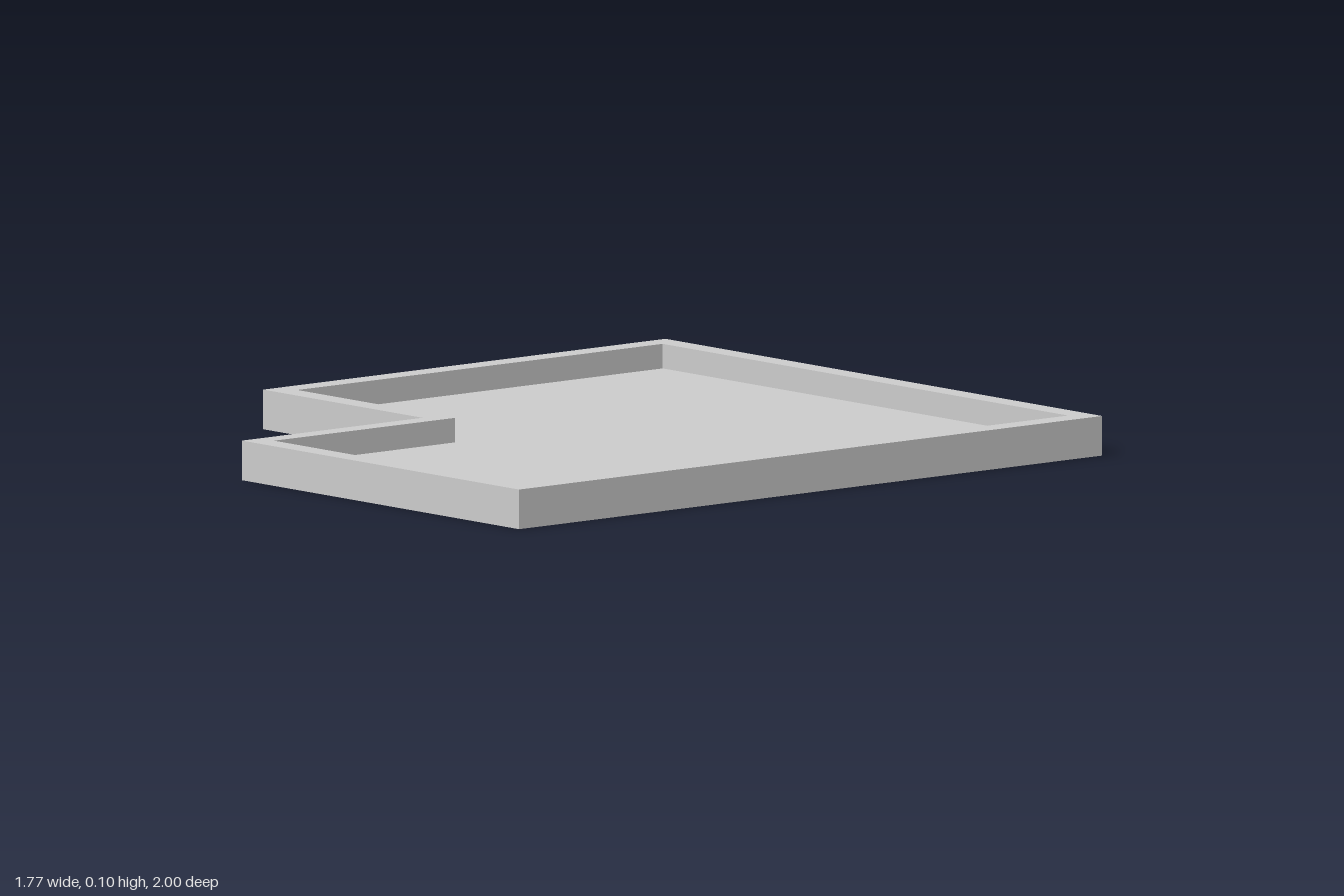
import * as THREE from 'three';

const HEIGHT = 0.105;
const FLOOR = 0.04;

// L-shaped plan with a notch at the front right corner; z runs towards the front
function plan(left, right, back, front, notchX, notchZ) {
  return [
    [left, back], [left, notchZ], [notchX, notchZ],
    [notchX, front], [right, front], [right, back],
  ].map(([x, z]) => new THREE.Vector2(x, -z));
}

// Extrudes a plan shape upwards from y = 0
function slab(name, shape, height, material) {
  const geometry = new THREE.ExtrudeGeometry(shape, { depth: height, bevelEnabled: false });
  geometry.rotateX(-Math.PI / 2);
  const mesh = new THREE.Mesh(geometry, material);
  mesh.name = name;
  return mesh;
}

export function createModel() {
  const group = new THREE.Group();
  group.name = 'notchedTray';
  const material = new THREE.MeshStandardMaterial({ color: 0xcccccc });

  const outer = plan(-0.886, 0.886, -1, 1, -0.239, 0.38);
  const inner = plan(-0.823, 0.823, -0.937, 0.937, -0.183, 0.316);

  // Raised wall around the edge
  const wall = new THREE.Shape(outer);
  wall.holes.push(new THREE.Path(inner));
  group.add(slab('rimWall', wall, HEIGHT, material));

  // Recessed floor filling the wall
  group.add(slab('floor', new THREE.Shape(inner), FLOOR, material));

  return group;
}
